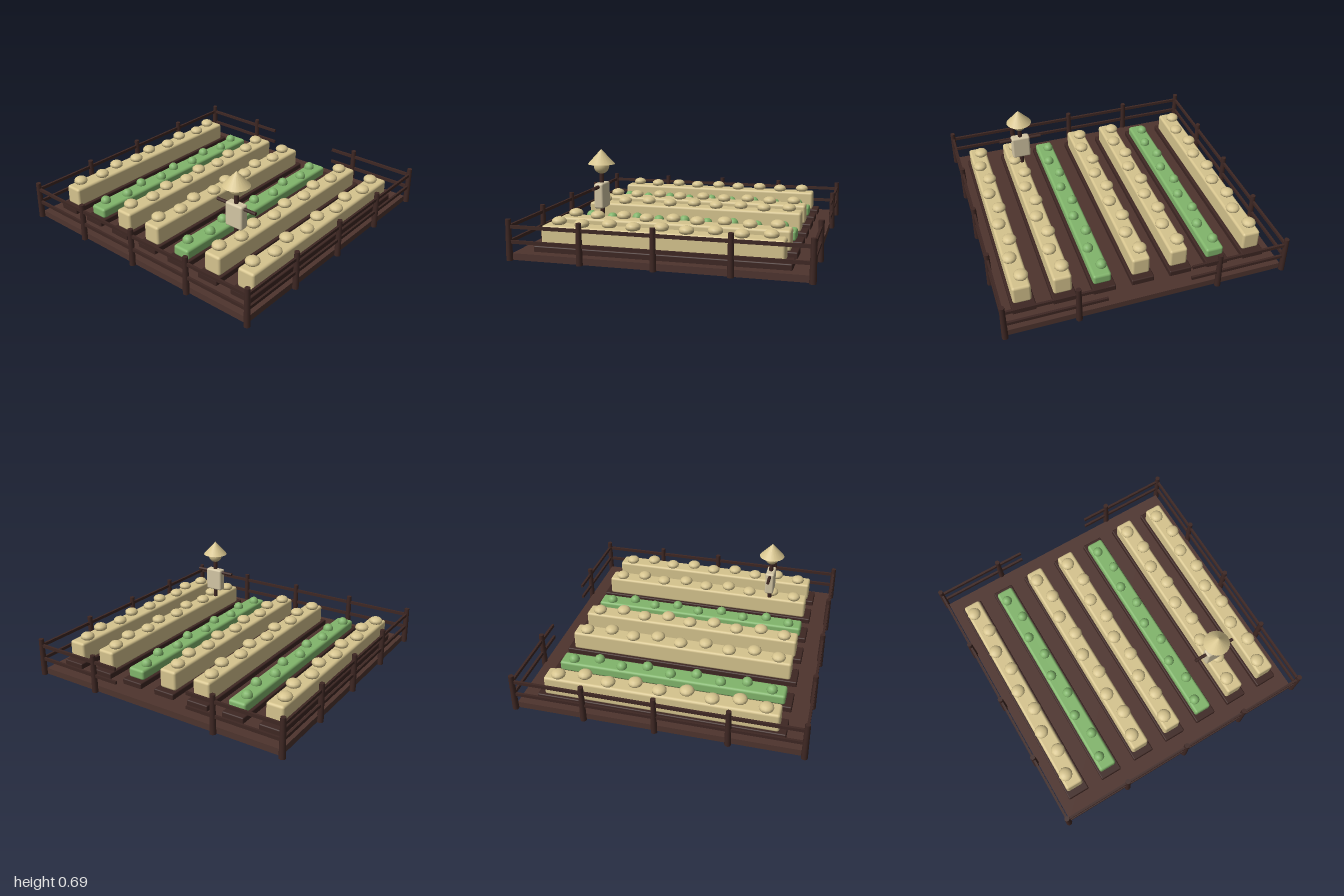
import * as THREE from 'three';
import { RoundedBoxGeometry } from 'three/addons/geometries/RoundedBoxGeometry.js';

const mat = (name, color) => {
  const m = new THREE.MeshStandardMaterial({ color });
  m.name = name;
  return m;
};

export function createModel() {
  const soil = mat('soil brown', 0x4e342e);
  const wood = mat('dark wood', 0x3e2723);
  const straw = mat('straw', 0xd6c48e);
  const leaf = mat('leaf green', 0x81b56b);
  const cloth = mat('sackcloth', 0xd3c6a4);

  const root = new THREE.Group();
  root.name = 'cropField';

  const group = (name, parent = root) => {
    const g = new THREE.Group();
    g.name = name;
    parent.add(g);
    return g;
  };
  const add = (parent, name, geometry, material, x, y, z) => {
    const mesh = new THREE.Mesh(geometry, material);
    mesh.name = name;
    mesh.position.set(x, y, z);
    parent.add(mesh);
    return mesh;
  };

  // Ground slab
  add(root, 'ground', new THREE.BoxGeometry(1.93, 0.045, 1.93), soil, 0, 0.0225, 0);

  // Seven planted rows: a low soil bed, a long crop block and staggered heads
  const bedGeo = new RoundedBoxGeometry(0.16, 0.05, 1.695, 2, 0.008);
  const crops = {
    wheat: {
      material: straw, top: 0.22, radius: 0.05, squash: 0.62, headY: 0.238, stagger: 0.019,
    },
    cabbage: {
      material: leaf, top: 0.155, radius: 0.038, squash: 1, headY: 0.163, stagger: 0.02,
    },
  };
  const bottom = 0.08;
  for (const crop of Object.values(crops)) {
    const h = crop.top - bottom;
    crop.block = new RoundedBoxGeometry(0.128, h, 1.6, 3, 0.018);
    crop.head = new THREE.SphereGeometry(crop.radius, 12, 8).scale(1, crop.squash, 1);
  }
  for (let i = -3; i <= 3; i++) {
    const x = i * 0.2725;
    const crop = i === -2 || i === 1 ? crops.cabbage : crops.wheat;
    const row = group('cropRow');
    add(row, 'bed', bedGeo, wood, x, 0.06, 0);
    add(row, 'cropBlock', crop.block, crop.material, x, (crop.top + bottom) / 2, 0);
    for (let k = -4; k <= 4; k++) {
      const side = k % 2 === 0 ? -1 : 1;
      add(row, 'cropHead', crop.head, crop.material,
        x + side * crop.stagger, crop.headY, k * 0.176);
    }
  }

  // Fence posts around the edge, leaving the gateway open at the back
  const fence = group('fence');
  const E = 0.978;
  const postGeo = new THREE.CylinderGeometry(0.018, 0.022, 0.275, 10);
  for (let i = -2; i <= 2; i++) {
    const p = i * E / 2;
    add(fence, 'post', postGeo, wood, p, 0.1375, E);
    if (i !== 0) add(fence, 'post', postGeo, wood, p, 0.1375, -E);
    if (Math.abs(i) < 2) {
      for (const s of [-1, 1]) add(fence, 'post', postGeo, wood, s * E, 0.1375, p);
    }
  }

  // Two rails on every side
  const gate = 0.29;
  const shortRail = E - gate;
  for (const y of [0.125, 0.225]) {
    add(fence, 'frontRail', new THREE.BoxGeometry(2 * E, 0.022, 0.016), wood, 0, y, E);
    for (const s of [-1, 1]) {
      add(fence, 'sideRail', new THREE.BoxGeometry(0.016, 0.022, 2 * E), wood, s * E, y, 0);
      add(fence, 'backRail', new THREE.BoxGeometry(shortRail, 0.022, 0.016), wood,
        s * (gate + shortRail / 2), y, -E);
    }
  }

  // Scarecrow
  const scarecrow = group('scarecrow');
  scarecrow.position.set(0.51, 0, 0.515);
  add(scarecrow, 'pole', new THREE.CylinderGeometry(0.016, 0.016, 0.5, 10), wood, 0, 0.295, 0);
  add(scarecrow, 'arms', new THREE.CylinderGeometry(0.012, 0.012, 0.32, 10).rotateZ(Math.PI / 2),
    wood, 0, 0.435, 0);
  add(scarecrow, 'body', new RoundedBoxGeometry(0.138, 0.174, 0.066, 3, 0.014), cloth, 0, 0.372, 0);
  add(scarecrow, 'head', new THREE.SphereGeometry(0.053, 20, 14), straw, 0, 0.572, 0);
  add(scarecrow, 'hat', new THREE.ConeGeometry(0.093, 0.102, 20), straw, 0, 0.637, 0);

  return root;
}
